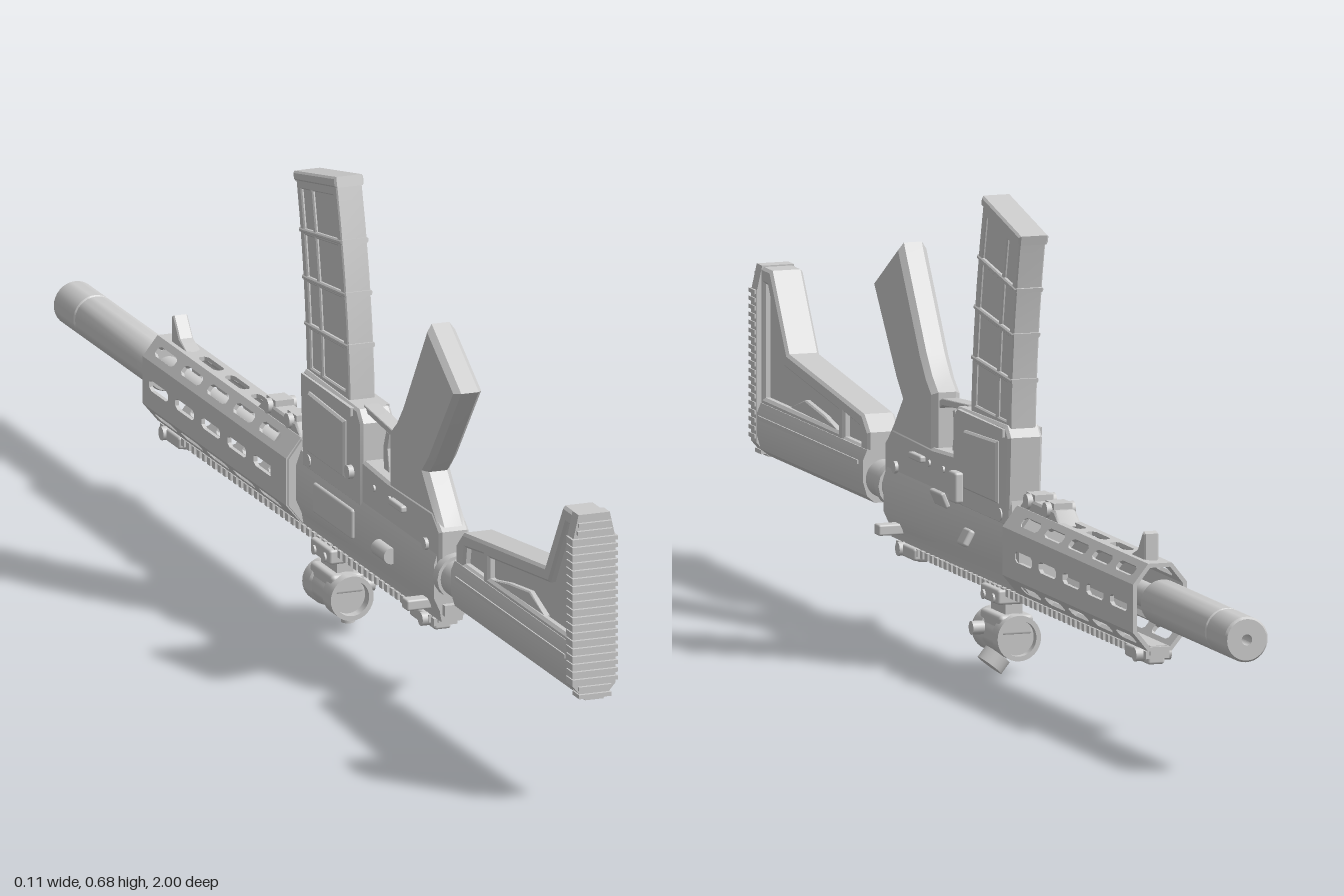
import * as THREE from 'three';
import { RoundedBoxGeometry } from 'three/addons/geometries/RoundedBoxGeometry.js';
import { toCreasedNormals } from 'three/addons/utils/BufferGeometryUtils.js';

const mat = new THREE.MeshStandardMaterial({ color: 0xcccccc, side: THREE.DoubleSide });
const AXIS_Y = 0.2; // height of the barrel axis

const path = (pts, T = THREE.Shape) => new T(pts.map(p => new THREE.Vector2(p[0], p[1])));

export function createModel() {
  const root = new THREE.Group();
  let parent = root;
  const group = name => {
    parent = new THREE.Group();
    parent.name = name;
    root.add(parent);
  };
  const add = (name, geo, x = 0, y = 0, z = 0) => {
    const m = new THREE.Mesh(geo, mat);
    m.name = name;
    m.position.set(x, y, z);
    parent.add(m);
    return m;
  };
  const box = (name, w, h, d, x, y, z) => add(name, new THREE.BoxGeometry(w, h, d), x, y, z);
  const round = (name, w, h, d, x, y, z, r = 0.004) =>
    add(name, new RoundedBoxGeometry(w, h, d, 2, r), x, y, z);
  // Cylinder along an axis
  const cyl = (name, r, len, x, y, z, axis = 'z', r2 = r, seg = 32) => {
    const g = new THREE.CylinderGeometry(r, r2, len, seg);
    if (axis === 'z') g.rotateX(Math.PI / 2);
    if (axis === 'x') g.rotateZ(-Math.PI / 2);
    return add(name, g, x, y, z);
  };
  // Side profile given as [z, y], extruded across x and centred
  const side = (name, pts, width, bevel = 0.004, holes = [], x = 0) => {
    const s = path(pts);
    s.holes = holes.map(h => path(h, THREE.Path));
    const g = new THREE.ExtrudeGeometry(s, { depth: width - 2 * bevel, bevelEnabled: bevel > 0,
      bevelThickness: bevel, bevelSize: bevel, bevelOffset: -bevel, bevelSegments: 1 });
    g.translate(0, 0, -width / 2 + bevel).rotateY(-Math.PI / 2);
    return add(name, toCreasedNormals(g, 0.5), x);
  };
  // Cross-section given as half outline [x, y], mirrored and extruded from z0 to z1
  const section = (name, half, z0, z1) => {
    const pts = [...half, ...half.slice().reverse().map(([x, y]) => [-x, y])];
    const g = new THREE.ExtrudeGeometry(path(pts), { depth: z1 - z0, bevelEnabled: false });
    return add(name, toCreasedNormals(g, 0.5), 0, 0, z0);
  };

  // Shoulder stock: rim, thin web, tube housing and ribbed pad
  group('stock');
  side('stockFrame', [[0.985, 0.2], [0.985, 0.438], [0.936, 0.438], [0.866, 0.328], [0.55, 0.29], [0.525, 0.267], [0.525, 0.2]],
    0.05, 0.004, [
      [[0.965, 0.25], [0.965, 0.415], [0.948, 0.415], [0.882, 0.308], [0.65, 0.28], [0.65, 0.25]],
      [[0.63, 0.245], [0.63, 0.28], [0.56, 0.27], [0.555, 0.245]]]);
  side('stockWeb', [[0.97, 0.22], [0.97, 0.42], [0.945, 0.42], [0.875, 0.315], [0.54, 0.277], [0.54, 0.22]], 0.028, 0);
  section('stockTube', [[0.014, 0.165], [0.026, 0.175], [0.032, 0.195], [0.032, 0.228], [0.026, 0.242]], 0.525, 0.98);
  for (const s of [-1, 1]) {
    box('stockSideLine', 0.003, 0.006, 0.42, s * 0.0325, 0.222, 0.755);
    side('stockLatch', [[0.86, 0.252], [0.8, 0.272], [0.72, 0.262], [0.66, 0.25]], 0.012, 0.002, [], s * 0.016);
  }
  section('buttPad', [[0.014, 0.163], [0.033, 0.185], [0.033, 0.4], [0.024, 0.44]], 0.972, 0.995);
  for (let i = 0; i < 23; i++) {
    const y = 0.17 + i * 0.0116;
    const w = y < 0.185 ? 0.05 : y > 0.405 ? 0.058 - (y - 0.4) * 0.3 : 0.07;
    box('padRib', w, 0.006, 0.026, 0, y, 0.987);
  }
  cyl('bufferTube', 0.028, 0.11, 0, AXIS_Y, 0.5);
  cyl('castleNut', 0.033, 0.018, 0, AXIS_Y, 0.467, 'z', 0.033, 16);

  // Receivers
  group('receiver');
  section('upperReceiver', [[0.016, 0.128], [0.019, 0.145], [0.028, 0.165], [0.028, 0.215], [0.02, 0.238]], -0.085, 0.45);
  side('lowerReceiver', [[0.46, 0.205], [0.46, 0.265], [0.43, 0.288], [0.26, 0.285], [0.16, 0.29], [0.1, 0.285],
    [-0.06, 0.28], [-0.07, 0.205]], 0.046);
  side('magazineWell', [[0.165, 0.22], [0.165, 0.345], [0.15, 0.363], [-0.055, 0.366], [-0.07, 0.35], [-0.06, 0.22]], 0.052);
  for (const s of [-1, 1]) {
    side('wellPanel', [[0.11, 0.25], [0.11, 0.335], [-0.03, 0.34], [-0.03, 0.25]], 0.008, 0.003, [], s * 0.027);
    box('wellLip', 0.006, 0.012, 0.19, s * 0.027, 0.355, 0.04);
    for (const z of [0.41, -0.035]) cyl('takedownPin', 0.009, 0.006, s * 0.025, 0.235, z, 'x');
    for (const z of [0.21, 0.27]) cyl('triggerPin', 0.005, 0.004, s * 0.024, 0.262, z, 'x');
    round('selector', 0.01, 0.01, 0.05, s * 0.028, 0.265, 0.31, 0.003);
    round('chargingHandle', 0.043, 0.016, 0.022, s * 0.034, 0.147, 0.405, 0.003);
  }
  box('chargingHandleBar', 0.03, 0.016, 0.09, 0, 0.147, 0.415);
  round('boltCatch', 0.014, 0.045, 0.03, 0.034, 0.25, 0.13);
  const paddle = round('catchPaddle', 0.01, 0.026, 0.03, 0.044, 0.188, 0.06);
  paddle.rotation.z = 0.5;
  const lever = round('catchLever', 0.008, 0.024, 0.05, 0.044, 0.228, 0.17, 0.003);
  lever.rotation.z = -0.4;
  round('ejectionCover', 0.008, 0.045, 0.15, -0.029, 0.19, 0.07);
  cyl('forwardAssist', 0.012, 0.05, -0.031, 0.185, 0.27, 'z', 0.012, 16);
  cyl('magazineButton', 0.01, 0.012, -0.028, 0.265, 0.13, 'x', 0.01, 16);

  // Grip, trigger and guard
  group('grip');
  side('pistolGrip', [[0.519, 0.487], [0.405, 0.56], [0.396, 0.545], [0.31, 0.415], [0.285, 0.385], [0.26, 0.365],
    [0.26, 0.27], [0.455, 0.27], [0.43, 0.3], [0.397, 0.337], [0.42, 0.36]], 0.043, 0.008);
  side('triggerGuard', [[0.27, 0.35], [0.25, 0.358], [0.14, 0.366], [0.14, 0.357], [0.25, 0.348], [0.265, 0.34]], 0.024, 0.001);
  side('trigger', [[0.225, 0.28], [0.215, 0.32], [0.222, 0.345], [0.212, 0.347], [0.2, 0.32], [0.203, 0.28]], 0.012, 0.001);

  // Curved magazine with framed panels
  group('magazine');
  const rear = t => [0.107 - 0.012 * t - 0.043 * t * t, 0.34 + 0.338 * t];
  const front = t => [-0.058 - 0.008 * t - 0.035 * t * t, 0.34 + 0.305 * t];
  const mix = (t, k) => { const a = rear(t), b = front(t); return [a[0] + (b[0] - a[0]) * k, a[1] + (b[1] - a[1]) * k]; };
  const steps = [0, 0.2, 0.4, 0.6, 0.8, 1];
  const outline = (t1, k0, k1) => [...steps.map(t => mix(t * t1, k0)), ...steps.map(t => mix(t * t1, k1)).reverse()];
  const panels = [[0.1, 0.28], [0.31, 0.5], [0.53, 0.72], [0.75, 0.93]].flatMap(([a, b]) =>
    [[0.1, 0.62], [0.68, 0.9]].map(([k, l]) => [mix(a, k), mix(b, k), mix(b, l), mix(a, l)]));
  side('magazineFrame', outline(1, 0, 1), 0.04, 0.002, panels);
  side('magazineCore', outline(0.98, 0.03, 0.97), 0.032, 0);
  side('magazineFloor', [mix(0.965, -0.02), mix(1.01, -0.02), mix(1.01, 1.03), mix(0.965, 1.03)], 0.045, 0.003);
  for (const t of [0.3, 0.52, 0.74])
    side('magazineBand', [mix(t - 0.01, -0.02), mix(t + 0.01, -0.02), mix(t + 0.01, 1.02), mix(t - 0.01, 1.02)], 0.043, 0.002);

  // Slotted handguard made from eight plates around the barrel
  group('handguard');
  const ring = [[0.018, 0.255], [0.041, 0.226], [0.041, 0.156], [0.018, 0.128],
    [-0.018, 0.128], [-0.041, 0.156], [-0.041, 0.226], [-0.018, 0.255]];
  const z0 = -0.635, len = 0.55;
  ring.forEach((a, i) => {
    const b = ring[(i + 1) % 8];
    const w = Math.hypot(b[0] - a[0], b[1] - a[1]);
    const s = path([[-w / 2, 0], [w / 2, 0], [w / 2, len], [-w / 2, len]]);
    const h = Math.min(0.008, w * 0.24);
    if (i !== 3) for (let k = 0; k < 5; k++) {
      const v = 0.025 + k * 0.1, e = v + 0.072;
      s.holes.push(path([[-h, v + h], [-h / 2, v], [h / 2, v], [h, v + h], [h, e - h], [h / 2, e], [-h / 2, e], [-h, e - h]], THREE.Path));
    }
    const g = new THREE.ExtrudeGeometry(s, { depth: 0.006, bevelEnabled: false });
    const u = new THREE.Vector3(b[0] - a[0], b[1] - a[1], 0).normalize();
    const v = new THREE.Vector3(0, 0, 1);
    g.applyMatrix4(new THREE.Matrix4().makeBasis(u, v, u.clone().cross(v)).setPosition((a[0] + b[0]) / 2, (a[1] + b[1]) / 2, z0));
    // Keep the plate thickness inside the outline
    const n = u.clone().cross(v);
    const out = n.x * (a[0] + b[0]) / 2 + n.y * ((a[1] + b[1]) / 2 - 0.19) > 0;
    if (out) g.translate(-n.x * 0.006, -n.y * 0.006, 0);
    add('handguardPlate', g);
  });
  section('handguardCollar', [[0.018, 0.13], [0.039, 0.157], [0.039, 0.225], [0.018, 0.253]], -0.15, -0.08);
  cyl('barrel', 0.018, 0.58, 0, AXIS_Y, -0.36);
  // Hand stop and clamp on the upper face
  side('handStop', [[-0.53, 0.25], [-0.57, 0.266], [-0.592, 0.295], [-0.6, 0.292], [-0.6, 0.25]], 0.022, 0.002);
  side('clampBase', [[-0.085, 0.25], [-0.11, 0.27], [-0.235, 0.27], [-0.26, 0.25]], 0.034, 0.003);
  for (const z of [-0.13, -0.21]) {
    cyl('clampScrew', 0.011, 0.044, 0, 0.268, z, 'x', 0.011, 16);
    box('clampPad', 0.028, 0.014, 0.035, 0, 0.272, z);
  }

  // Toothed rail along the lower face
  group('rail');
  box('railBase', 0.026, 0.014, 1.06, 0, 0.128, -0.1);
  for (let i = 0; i < 53; i++) box('railTooth', 0.036, 0.011, 0.011, 0, 0.121, 0.42 - i * 0.02);
  for (const [z, d] of [[0.37, 1], [-0.575, -1]]) {
    round('foldedSightBase', 0.044, 0.018, 0.06, 0, 0.118, z);
    round('foldedSightArm', 0.026, 0.014, 0.07, 0, 0.113, z + d * 0.01);
    cyl('foldedSightKnob', 0.01, 0.054, 0, 0.119, z + d * 0.025, 'x', 0.01, 16);
  }

  // Suppressor with a bored end
  group('suppressor');
  cyl('muzzleThread', 0.02, 0.06, 0, AXIS_Y, -0.63);
  const can = [[0.008, 0.9], [0.008, 1], [0.03, 1], [0.033, 0.996], [0.033, 0.921], [0.031, 0.919], [0.031, 0.916],
    [0.033, 0.914], [0.033, 0.645], [0.031, 0.64], [0, 0.64]];
  const canGeo = new THREE.LatheGeometry(can.map(p => new THREE.Vector2(...p)), 32).rotateX(-Math.PI / 2);
  add('suppressorBody', toCreasedNormals(canGeo, 0.5), 0, AXIS_Y, 0);
  cyl('boreEnd', 0.008, 0.004, 0, AXIS_Y, -0.902);

  // Tube sight hanging below the rail
  group('opticSight');
  const tube = [[0.026, 0.045], [0.026, 0.062], [0.033, 0.062], [0.033, 0.03], [0.03, 0.026], [0.03, -0.02], [0.033, -0.024],
    [0.033, -0.048], [0.026, -0.048], [0.026, -0.035]];
  const tubeGeo = new THREE.LatheGeometry(tube.map(p => new THREE.Vector2(...p)), 32).rotateX(Math.PI / 2);
  add('sightTube', toCreasedNormals(tubeGeo, 0.5), 0, 0.055, 0.005);
  for (const z of [0.05, -0.03]) cyl('sightLens', 0.027, 0.003, 0, 0.055, z);
  round('sightBody', 0.052, 0.03, 0.085, 0, 0.072, 0.01, 0.006);
  box('sightPost', 0.026, 0.04, 0.06, 0, 0.1, 0.01);
  round('sightClamp', 0.054, 0.022, 0.075, 0, 0.113, 0.01);
  for (const z of [-0.01, 0.03]) cyl('clampBolt', 0.007, 0.06, 0, 0.11, z, 'x', 0.007, 12);
  cyl('adjustKnob', 0.01, 0.018, 0.038, 0.062, 0.03, 'x', 0.01, 20);
  cyl('lowerAdjuster', 0.01, 0.018, 0.008, 0.019, 0.03, 'y', 0.01, 20);
  const cap = cyl('batteryCap', 0.021, 0.02, 0.029, 0.022, -0.015, 'x', 0.021, 24);
  cap.rotation.z = -0.9;

  return root;
}
